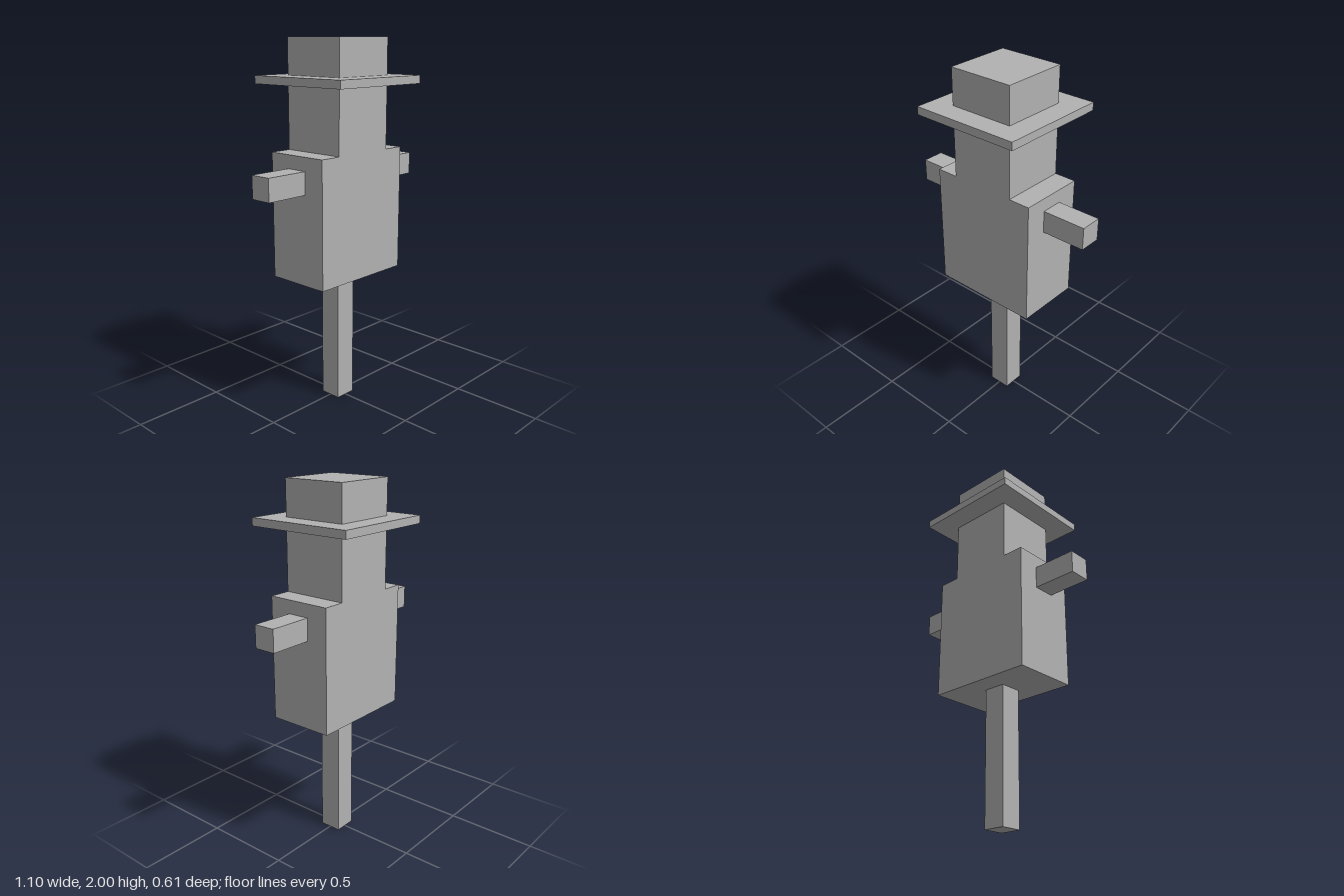
import * as THREE from 'three';

export function createModel() {
  const model = new THREE.Group();
  model.name = 'scarecrow';

  const grey = new THREE.MeshStandardMaterial({ color: 0xb2b2b2 });
  grey.name = 'plain grey';

  // Box standing between heights y0 and y1, centred on x and z = 0
  const addBlock = (name, width, y0, y1, depth, x = 0) => {
    const mesh = new THREE.Mesh(new THREE.BoxGeometry(width, y1 - y0, depth), grey);
    mesh.name = name;
    mesh.position.set(x, (y0 + y1) / 2, 0);
    model.add(mesh);
  };

  // Post and body
  addBlock('post', 0.122, 0, 0.735, 0.122);
  addBlock('body', 0.61, 0.735, 1.417, 0.366);

  // Short arms
  for (const [name, side] of [['leftArm', 1], ['rightArm', -1]]) {
    addBlock(name, 0.243, 1.222, 1.344, 0.122, side * 0.4265);
  }

  // Head and hat
  addBlock('head', 0.366, 1.417, 1.762, 0.366);
  addBlock('hatBrim', 0.61, 1.762, 1.805, 0.61);
  addBlock('hatCrown', 0.366, 1.805, 2, 0.366);

  return model;
}
